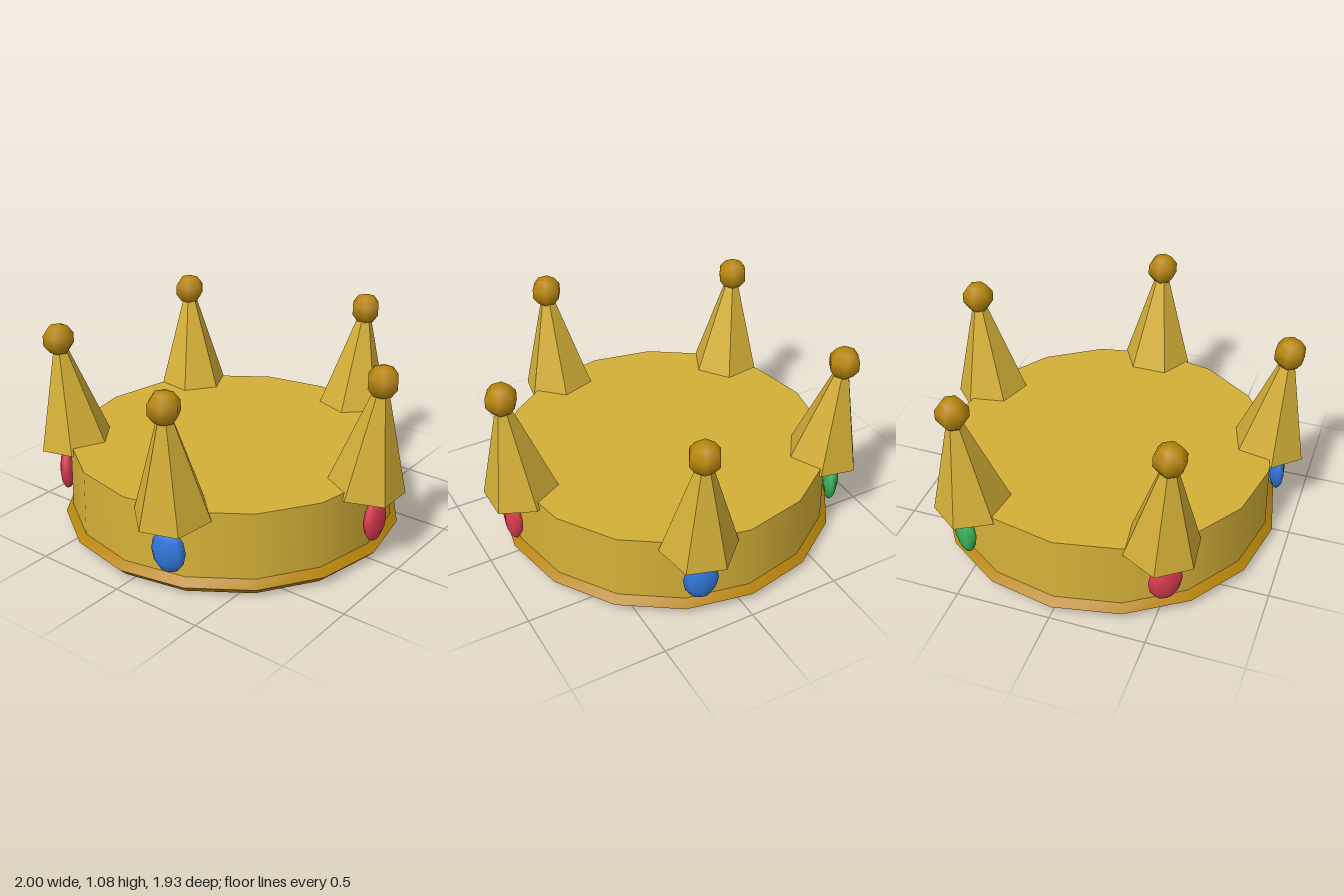
import * as THREE from 'three';
import { toCreasedNormals } from 'three/addons/utils/BufferGeometryUtils.js';

const CENTRE_Z = -0.055;
const POINTS = 5;
const LEAN = 0.11;

function material(name, color) {
  const m = new THREE.MeshStandardMaterial({ color });
  m.name = name;
  return m;
}

function part(parent, name, geometry, mat, x = 0, y = 0, z = 0) {
  const mesh = new THREE.Mesh(geometry, mat);
  mesh.name = name;
  mesh.position.set(x, y, z);
  parent.add(mesh);
  return mesh;
}

export function createModel() {
  const gold = material('gold', 0xd4af37);
  const darkGold = material('darkGold', 0xb8860b);
  const red = material('rubyRed', 0xdc3c50);
  const blue = material('sapphireBlue', 0x3278dc);
  const green = material('emeraldGreen', 0x3cb45a);
  const gemColours = [red, blue, green, red, blue];

  const model = new THREE.Group();
  model.name = 'crown';
  const body = new THREE.Group();
  body.name = 'crownBody';
  body.position.z = CENTRE_Z;
  model.add(body);

  // Solid band, slightly narrower at the top
  part(body, 'band', new THREE.CylinderGeometry(0.867, 0.877, 0.4, 16), gold, 0, 0.24, 0);

  // Diamond-section rim around the foot
  const rim = new THREE.TorusGeometry(0.87, 0.045, 4, 16).rotateX(Math.PI / 2);
  part(body, 'bottomRim', toCreasedNormals(rim, 0.7), darkGold, 0, 0.045, 0);

  // Six-sided spike, faceted
  const spikeGeometry = new THREE.CylinderGeometry(0.02, 0.2, 0.6, 6, 1, false, Math.PI / 6)
    .toNonIndexed();
  spikeGeometry.computeVertexNormals();
  const ballGeometry = new THREE.SphereGeometry(0.086, 6, 5, Math.PI / 2);
  const gemGeometry = new THREE.SphereGeometry(1, 8, 6).scale(0.09, 0.12, 0.042);

  for (let i = 0; i < POINTS; i++) {
    const angle = (i * Math.PI * 2) / POINTS;
    const spoke = new THREE.Group();
    spoke.name = 'crownPoint' + (i + 1);
    spoke.rotation.y = angle;
    body.add(spoke);

    // Spike leaning outward
    const spike = part(spoke, 'spike', spikeGeometry, gold, 0, 0.7, 0.878);
    spike.rotation.x = LEAN;

    // Gem below the spike
    part(spoke, 'gem', gemGeometry, gemColours[i], 0, 0.237, 0.908);

    // Ball on the tip, all facing the same way
    part(body, 'tipBall', ballGeometry, darkGold,
      Math.sin(angle) * 0.91, 0.99, Math.cos(angle) * 0.91);
  }

  return model;
}
